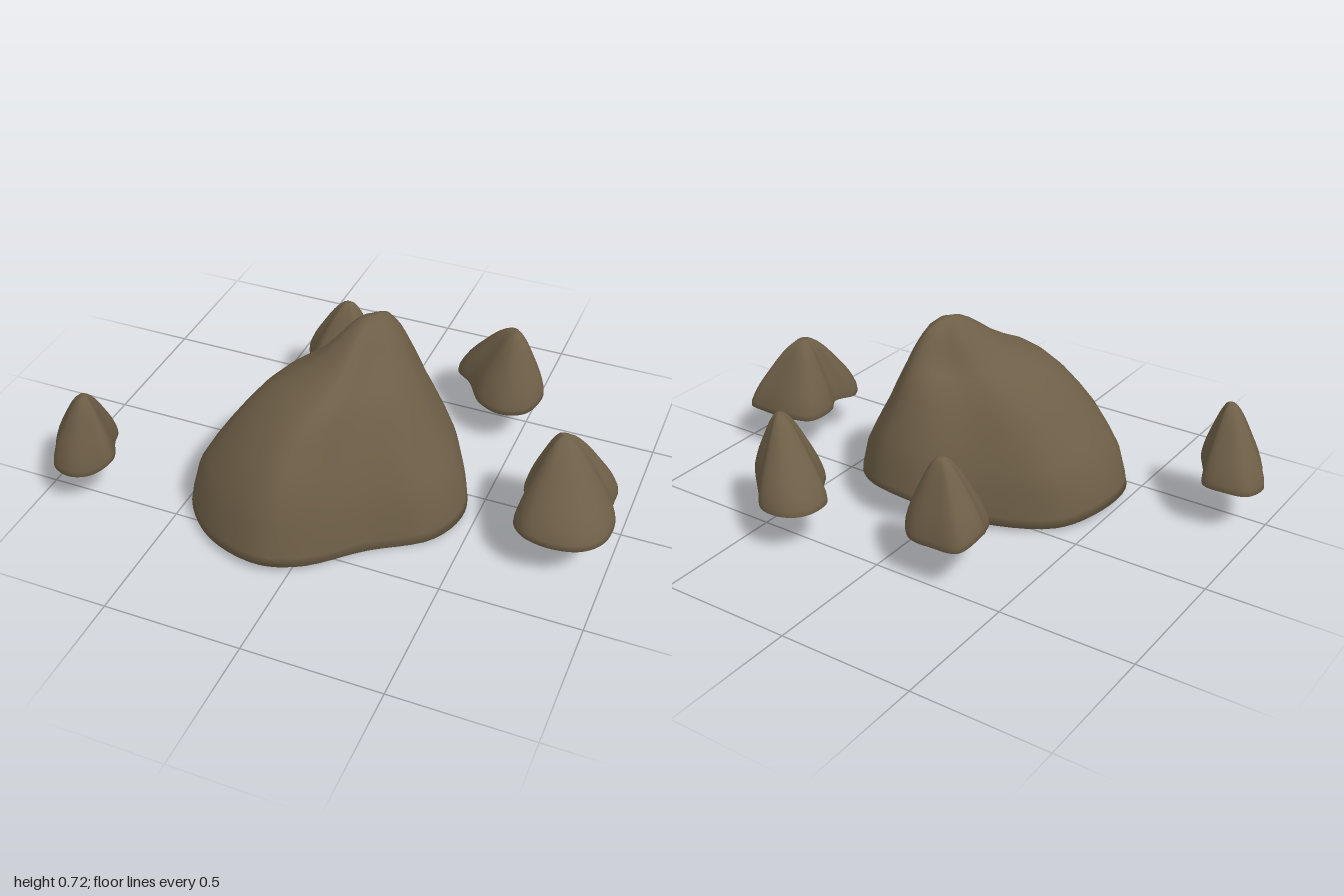
import * as THREE from 'three';

const SEGMENTS = 72;

// Smooth closed outline through [x, z, rim height] points
function smoothOutline(points) {
  const curve = new THREE.CatmullRomCurve3(
    points.map(([x, z, y]) => new THREE.Vector3(x, y, z)), true);
  return Array.from({ length: SEGMENTS }, (_, i) => curve.getPoint(i / SEGMENTS));
}

// Stacks copies of the outline, each fitted into a level's box, up to the apex.
// levels: [relative height, xMin, xMax, zMin, zMax]; apex: [x, y, z]
function rockGeometry(points, levels, apex) {
  const rim = smoothOutline(points);
  const box = new THREE.Box3().setFromPoints(rim);
  const size = box.getSize(new THREE.Vector3());
  const centre = box.getCenter(new THREE.Vector3());
  const floor = rim.reduce((sum, p) => sum + p.y, 0) / SEGMENTS;

  const pos = [centre.x, floor, centre.z];
  // underside ring just inside the rim
  for (const p of rim) {
    const q = p.clone().lerp(new THREE.Vector3(centre.x, floor, centre.z), 0.06);
    pos.push(q.x, q.y, q.z);
  }
  for (const [t, x0, x1, z0, z1] of levels) {
    for (const p of rim) {
      const u = (p.x - box.min.x) / size.x;
      const v = (p.z - box.min.z) / size.z;
      pos.push(x0 + u * (x1 - x0), p.y + t * (apex[1] - p.y), z0 + v * (z1 - z0));
    }
  }
  pos.push(...apex);

  const index = [];
  const rings = levels.length + 1;
  const top = 1 + rings * SEGMENTS;
  for (let i = 0; i < SEGMENTS; i++) {
    const j = (i + 1) % SEGMENTS;
    index.push(0, 1 + i, 1 + j);
    for (let r = 0; r < rings - 1; r++) {
      const a = 1 + r * SEGMENTS;
      const b = a + SEGMENTS;
      index.push(a + i, b + i, a + j, a + j, b + i, b + j);
    }
    index.push(top - SEGMENTS + i, top, top - SEGMENTS + j);
  }
  const geometry = new THREE.BufferGeometry();
  geometry.setAttribute('position', new THREE.Float32BufferAttribute(pos, 3));
  geometry.setIndex(index);
  geometry.computeVertexNormals();
  return geometry;
}

// Bell profile shared by the small rocks: [relative height, spread from apex]
const BELL = [[0, 1], [0.08, 0.985], [0.18, 0.93], [0.3, 0.85], [0.42, 0.75], [0.55, 0.63],
  [0.68, 0.51], [0.8, 0.39], [0.89, 0.28], [0.95, 0.19], [0.985, 0.1]];

function bellLevels(points, [ax, , az]) {
  const xs = points.map((p) => p[0]);
  const zs = points.map((p) => p[1]);
  const fit = (a, v, f) => a + (v - a) * f;
  return BELL.map(([t, f]) => [t,
    fit(ax, Math.min(...xs), f), fit(ax, Math.max(...xs), f),
    fit(az, Math.min(...zs), f), fit(az, Math.max(...zs), f)]);
}

// Main rock: rim and sections, with a shoulder towards the front
const MAIN_RIM = [
  [0.455, 0.1, 0.01], [0.4, 0.27, 0.005], [0.2, 0.42, 0.005], [0.03, 0.59, 0.02],
  [-0.11, 0.65, 0.035], [-0.34, 0.57, 0.025], [-0.48, 0.4, 0.035], [-0.475, 0.17, 0.03],
  [-0.39, 0.03, 0.015], [-0.15, -0.11, 0.03], [0.04, -0.23, 0.11], [0.2, -0.235, 0.13],
  [0.33, -0.14, 0.1], [0.42, -0.01, 0.05]];
const MAIN_APEX = [0.07, 0.725, 0.06];
const MAIN_LEVELS = [
  [0, -0.495, 0.455, -0.245, 0.655],
  [0.05, -0.49, 0.45, -0.245, 0.65],
  [0.2, -0.465, 0.425, -0.235, 0.63],
  [0.3, -0.425, 0.39, -0.225, 0.61],
  [0.41, -0.375, 0.35, -0.205, 0.58],
  [0.5, -0.33, 0.315, -0.185, 0.54],
  [0.59, -0.28, 0.285, -0.165, 0.495],
  [0.67, -0.22, 0.255, -0.145, 0.445],
  [0.73, -0.16, 0.23, -0.125, 0.39],
  [0.78, -0.105, 0.21, -0.105, 0.32],
  [0.84, -0.06, 0.185, -0.085, 0.25],
  [0.9, -0.025, 0.16, -0.06, 0.195],
  [0.95, 0.005, 0.135, -0.035, 0.145],
  [0.985, 0.035, 0.105, 0.005, 0.1]];

// Small rocks standing around it
const SMALL_ROCKS = [
  { name: 'frontRightRock', apex: [-0.82, 0.445, 0.51], rim: [
    [-0.72, 0.53, 0.205], [-0.77, 0.59, 0.17], [-0.84, 0.625, 0.165], [-0.92, 0.6, 0.165],
    [-0.96, 0.53, 0.17], [-0.995, 0.45, 0.17], [-0.97, 0.36, 0.175], [-0.9, 0.335, 0.18],
    [-0.81, 0.345, 0.18], [-0.775, 0.42, 0.19]] },
  { name: 'backRightRock', apex: [-0.2, 0.445, -0.4], rim: [
    [-0.08, -0.38, 0.175], [-0.1, -0.28, 0.165], [-0.2, -0.265, 0.185], [-0.31, -0.27, 0.17],
    [-0.345, -0.34, 0.18], [-0.37, -0.4, 0.2], [-0.34, -0.5, 0.17], [-0.24, -0.515, 0.165],
    [-0.14, -0.505, 0.165], [-0.09, -0.45, 0.19]] },
  { name: 'backLeftRock', apex: [0.45, 0.445, -0.45], rim: [
    [0.575, -0.43, 0.2], [0.54, -0.34, 0.17], [0.45, -0.3, 0.165], [0.35, -0.335, 0.17],
    [0.28, -0.43, 0.18], [0.21, -0.5, 0.175], [0.22, -0.6, 0.17], [0.28, -0.655, 0.17],
    [0.38, -0.655, 0.17], [0.45, -0.59, 0.19], [0.54, -0.5, 0.22]] },
  { name: 'leftRock', apex: [0.78, 0.445, 0.08], rim: [
    [1, 0.14, 0.17], [0.99, 0.25, 0.17], [0.93, 0.32, 0.17], [0.82, 0.345, 0.17],
    [0.72, 0.32, 0.17], [0.67, 0.25, 0.165], [0.69, 0.15, 0.175], [0.655, 0.08, 0.17],
    [0.67, -0.03, 0.165], [0.76, -0.07, 0.17], [0.88, -0.065, 0.165], [0.96, -0.05, 0.165],
    [0.97, 0.05, 0.165]] },
];

export function createModel() {
  const model = new THREE.Group();
  model.name = 'rockCluster';
  const stone = new THREE.MeshStandardMaterial({ color: 0x6e5f47 });
  stone.name = 'brown stone';

  const addRock = (name, rim, levels, apex) => {
    const mesh = new THREE.Mesh(rockGeometry(rim, levels, apex), stone);
    mesh.name = name;
    model.add(mesh);
  };
  addRock('mainRock', MAIN_RIM, MAIN_LEVELS, MAIN_APEX);
  for (const { name, rim, apex } of SMALL_ROCKS) {
    addRock(name, rim, bellLevels(rim, apex), apex);
  }
  return model;
}
